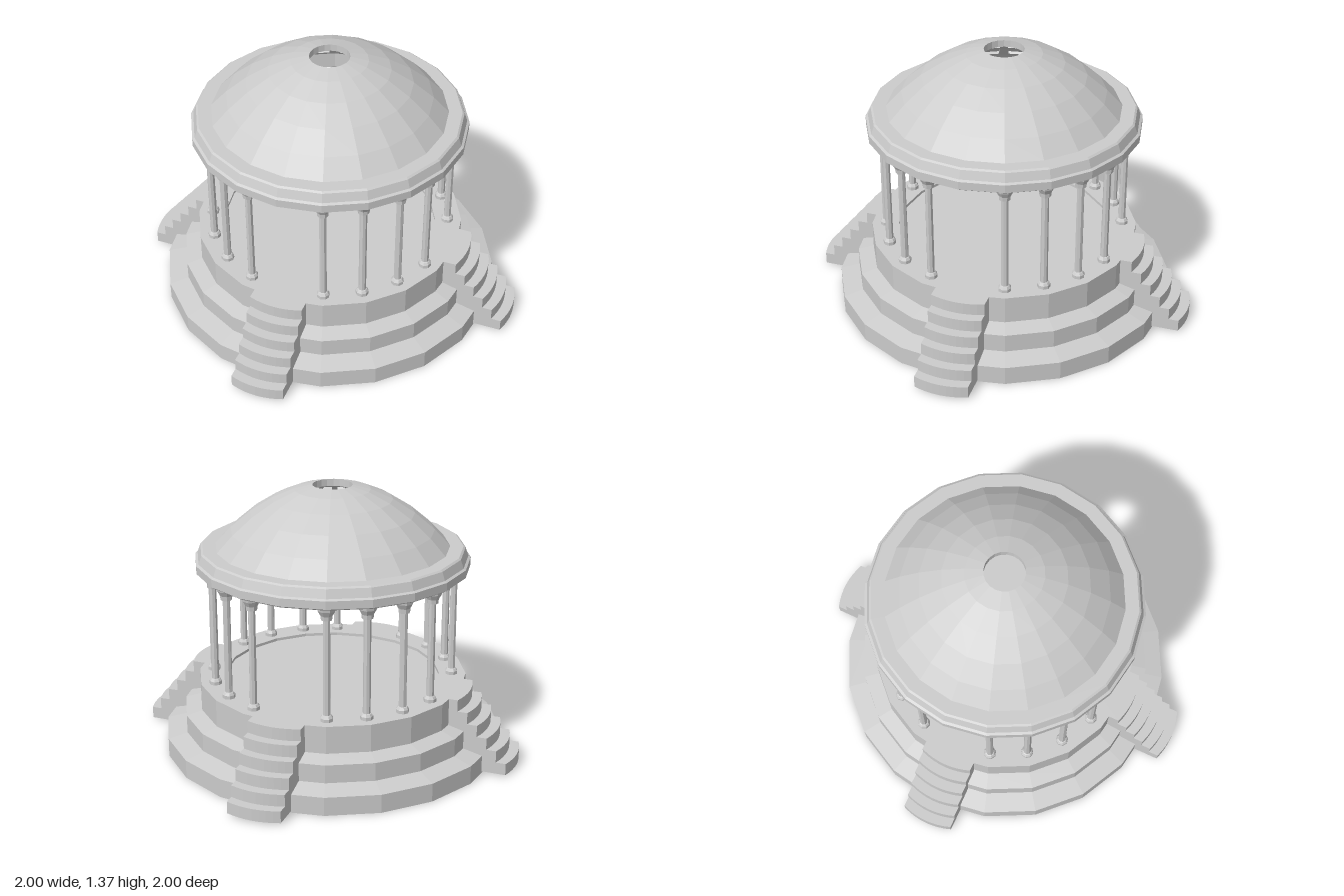
import * as THREE from 'three';

const SIDES = 20;
const STEP = (Math.PI * 2) / SIDES;
const mat = new THREE.MeshStandardMaterial({ color: 0xcccccc, flatShading: true, side: THREE.DoubleSide });

function part(name, geometry, parent) {
  const mesh = new THREE.Mesh(geometry, mat);
  mesh.name = name;
  parent.add(mesh);
  return mesh;
}

function lathe(points, sides = SIDES) {
  return new THREE.LatheGeometry(points.map(([r, y]) => new THREE.Vector2(r, y)), sides);
}

// Inner dome lining: a grid of framed, shallow recessed panels
function cofferedLining(profile, depth) {
  const pos = [];
  const at = ([r, y], a, push) => new THREE.Vector3(Math.sin(a) * (r + push), y + push, Math.cos(a) * (r + push));
  const mix = (p, q, t) => [p[0] + (q[0] - p[0]) * t, p[1] + (q[1] - p[1]) * t];
  const quad = (a, b, c, d) => [a, b, c, a, c, d].forEach((v) => pos.push(v.x, v.y, v.z));
  for (let row = 0; row < profile.length - 1; row++) {
    for (let i = 0; i < SIDES; i++) {
      const corner = (u, v, push) => {
        const p = mix(profile[row], profile[row + 1], v);
        const a = at(p, i * STEP, push), b = at(p, (i + 1) * STEP, push);
        return a.lerp(b, u);
      };
      const ring = (m, push) => [[m, m], [1 - m, m], [1 - m, 1 - m], [m, 1 - m]].map(([u, v]) => corner(u, v, push));
      const rings = [ring(0, 0), ring(0.18, 0), ring(0.18, depth)];
      for (let k = 0; k < 2; k++) {
        for (let e = 0; e < 4; e++) {
          const f = (e + 1) % 4;
          quad(rings[k][e], rings[k + 1][e], rings[k + 1][f], rings[k][f]);
        }
      }
      const [a, b, c, d] = rings[2];
      quad(a, d, c, b);
    }
  }
  const g = new THREE.BufferGeometry();
  g.setAttribute('position', new THREE.Float32BufferAttribute(pos, 3));
  g.computeVertexNormals();
  return g;
}

// One bow-fronted slab of a staircase, running outward along -z
function stepSlab(outer, inner, halfWidth, height) {
  const pts = [];
  const n = 8, bow = 0.025;
  for (let i = 0; i <= n; i++) {
    const t = 1 - (2 * i) / n;
    pts.push(new THREE.Vector2(t * halfWidth, outer - bow * t * t));
  }
  for (let i = 0; i <= n; i++) {
    const t = -1 + (2 * i) / n;
    pts.push(new THREE.Vector2(t * halfWidth, inner - bow * t * t));
  }
  const g = new THREE.ExtrudeGeometry(new THREE.Shape(pts), { depth: height, bevelEnabled: false });
  return g.rotateX(-Math.PI / 2);
}

export function createModel() {
  const model = new THREE.Group();
  model.name = 'rotunda';
  const body = new THREE.Group();
  body.name = 'pavilion';
  body.position.x = -0.01;
  model.add(body);

  // Hollow three-tier base with gently sloped ledges and sunken floor
  part('tieredBase', lathe([
    [0.865, 0], [0.865, 0.095], [0.767, 0.12], [0.767, 0.213],
    [0.687, 0.235], [0.687, 0.375], [0.55, 0.375], [0.55, 0.36],
  ]), body);
  const floor = part('floor', new THREE.CircleGeometry(0.55, SIDES), body);
  floor.rotation.x = -Math.PI / 2;
  floor.position.y = 0.36;

  // Columns at every corner except the four entrances
  const columnGeo = lathe([
    [0, 0.355], [0.032, 0.355], [0.032, 0.392], [0.024, 0.404], [0.019, 0.406],
    [0.018, 0.885], [0.028, 0.888], [0.03, 0.91], [0.044, 0.935], [0.048, 0.96], [0, 0.96],
  ], 8);
  for (let i = 0; i < SIDES; i++) {
    if (i % 5 === 0) continue;
    const column = part('column', columnGeo, body);
    column.position.set(Math.sin(i * STEP) * 0.613, 0, Math.cos(i * STEP) * 0.613);
    column.rotation.y = i * STEP + Math.PI / 8;
  }

  // Ring beam
  part('cornice', lathe([
    [0.53, 1.04], [0.53, 0.957], [0.68, 0.957], [0.692, 0.965], [0.692, 1.005],
    [0.68, 1.012], [0.665, 1.055], [0.655, 1.062], [0.588, 1.062],
  ]), body);

  // Dome shell with an open eye, and its coffered lining
  part('dome', lathe([
    [0.588, 1.062], [0.51, 1.145], [0.41, 1.23], [0.3, 1.3], [0.19, 1.348], [0.1, 1.37], [0.1, 1.335],
  ]), body);
  part('domeLining', cofferedLining([
    [0.53, 1.04], [0.47, 1.12], [0.385, 1.195], [0.28, 1.265], [0.18, 1.313], [0.1, 1.335],
  ], 0.01), body);

  // Four staircases, each of six stacked slabs
  const shifts = [0.015, 0, 0.015, 0];
  const names = ['backStairs', 'rightStairs', 'frontStairs', 'leftStairs'];
  const rise = 0.365 / 6;
  names.forEach((name, k) => {
    const stairs = new THREE.Group();
    stairs.name = name;
    stairs.rotation.y = (k * Math.PI) / 2;
    for (let i = 0; i < 6; i++) {
      const slab = part('step', stepSlab(1 - 0.051 * i, 0.61, 0.136, rise), stairs);
      slab.position.set(shifts[k], 0.01 + i * rise, 0);
    }
    model.add(stairs);
  });
  return model;
}
